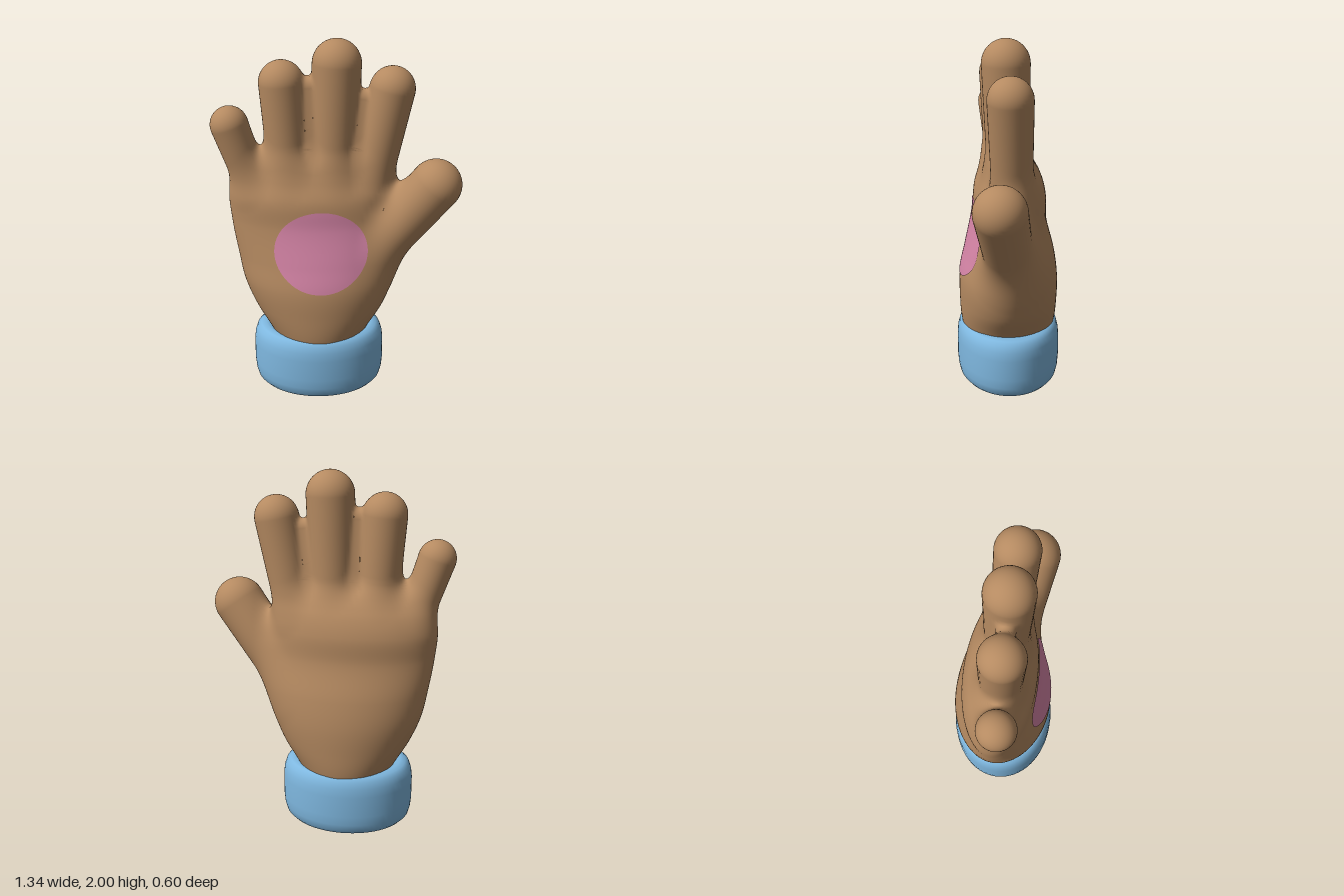
import * as THREE from 'three';
import { ParametricGeometry } from 'three/addons/geometries/ParametricGeometry.js';

const skin = new THREE.MeshStandardMaterial({ color: 0xb58a61 });
skin.name = 'skin brown';
const cloth = new THREE.MeshStandardMaterial({ color: 0x7fb8e0 });
cloth.name = 'cuff blue';
const pink = new THREE.MeshStandardMaterial({ color: 0xd584a6 });
pink.name = 'palm pink';

// Oval palm sections: height, right edge, left edge, back, front
const SECTIONS = [
  [0.28, -0.34, 0.14, -0.25, 0.25],
  [0.36, -0.38, 0.18, -0.27, 0.27],
  [0.5, -0.46, 0.265, -0.28, 0.28],
  [0.65, -0.52, 0.32, -0.28, 0.277],
  [0.8, -0.55, 0.34, -0.26, 0.243],
  [1.0, -0.58, 0.33, -0.213, 0.198],
  [1.15, -0.588, 0.315, -0.208, 0.185],
  [1.25, -0.555, 0.295, -0.178, 0.148],
  [1.34, -0.5, 0.265, -0.125, 0.118],
  [1.42, -0.44, 0.24, -0.085, 0.1],
];
const PALM_TOP = 1.38;
const sampler = new THREE.CubicInterpolant(
  SECTIONS.map((s) => s[0]), SECTIONS.flatMap((s) => s.slice(1)), 4);

function section(y) {
  const [x0, x1, z0, z1] = sampler.evaluate(y);
  return { cx: (x0 + x1) / 2, rx: (x1 - x0) / 2, cz: (z0 + z1) / 2, rz: (z1 - z0) / 2 };
}

// Fingers as tapered capsules: base, tip centre, radii, softness of the joint
const FINGERS = [
  ['littleFinger', [-0.455, 1.18, 0], [-0.57, 1.545, 0.027], 0.088, 0.102, 0.08],
  ['ringFinger', [-0.255, 1.2, 0.005], [-0.29, 1.77, 0.02], 0.11, 0.12, 0.08],
  ['middleFinger', [-0.02, 1.2, 0.005], [0, 1.87, 0.02], 0.113, 0.13, 0.07],
  ['indexFinger', [0.185, 1.2, 0.005], [0.291, 1.74, 0.025], 0.108, 0.12, 0.07],
  ['thumb', [0.16, 0.735, 0], [0.53, 1.235, 0.1], 0.13, 0.14, 0.1],
  ['ringWeb', [-0.137, 1.3, 0.01], [-0.146, 1.75, 0.02], 0.07, 0.035, 0.05],
  ['indexWeb', [0.09, 1.3, 0.01], [0.142, 1.69, 0.02], 0.07, 0.03, 0.05],
].map(([name, base, tip, r0, r1, soft]) => {
  const a = new THREE.Vector3(...base), axis = new THREE.Vector3(...tip).sub(a);
  return { name, a, axis, r0, r1, soft };
});

// Soft union of two distances
function blend(a, b, k) {
  const h = Math.max(0, k - Math.abs(a - b)) / k;
  return Math.min(a, b) - h * h * k / 4;
}

function palmDistance(p) {
  const s = section(p.y), dx = (p.x - s.cx) / s.rx, dz = (p.z - s.cz) / s.rz;
  const g = Math.hypot(dx, dz) + 1e-6;
  const side = g * (g - 1) / (Math.hypot(dx / s.rx, dz / s.rz) + 1e-6);
  return -blend(-side, PALM_TOP - p.y, 0.08);
}

const offset = new THREE.Vector3();
function fingerDistance(p, f) {
  offset.copy(p).sub(f.a);
  const t = THREE.MathUtils.clamp(offset.dot(f.axis) / f.axis.lengthSq(), 0, 1);
  return offset.addScaledVector(f.axis, -t).length() - THREE.MathUtils.lerp(f.r0, f.r1, t);
}

// Distance to the skin with all joints softened
const skinDistance = (p) =>
  FINGERS.reduce((d, f) => blend(d, fingerDistance(p, f), f.soft), palmDistance(p));

function skinSlope(p) {
  const e = 0.001, q = new THREE.Vector3(), slope = new THREE.Vector3();
  for (const axis of ['x', 'y', 'z']) {
    q.copy(p)[axis] += e;
    const high = skinDistance(q);
    q[axis] -= 2 * e;
    slope[axis] = (high - skinDistance(q)) / (2 * e);
  }
  return slope;
}

// Move the vertices of a part onto the softened skin, leaving buried ones inside
function skinPart(name, geometry) {
  const pos = geometry.attributes.position, normal = geometry.attributes.normal;
  const p = new THREE.Vector3();
  for (let i = 0; i < pos.count; i++) {
    p.fromBufferAttribute(pos, i);
    if (skinDistance(p) > -0.07) {
      for (let step = 0; step < 8; step++) {
        const slope = skinSlope(p);
        p.addScaledVector(slope, -skinDistance(p) / Math.max(0.3, slope.lengthSq()));
      }
    }
    const n = skinSlope(p).normalize();
    pos.setXYZ(i, p.x, p.y, p.z);
    normal.setXYZ(i, n.x, n.y, n.z);
  }
  const mesh = new THREE.Mesh(geometry, skin);
  mesh.name = name;
  return mesh;
}

// Palm tube closing to a dome under the fingers
function palmPoint(u, v, target) {
  const y = THREE.MathUtils.lerp(0.28, 1.41, Math.min(1, v / 0.85));
  const s = section(y), a = u * Math.PI * 2;
  const close = 1 - Math.max(0, v - 0.85) / 0.15;
  target.set(s.cx + s.rx * close * Math.cos(a), y, s.cz - s.rz * close * Math.sin(a));
}

// Round-tipped lathe laid along the finger's axis
function fingerGeometry({ a, axis, r0, r1 }) {
  const length = axis.length(), points = [];
  for (let i = 0; i < 36; i++) {
    points.push(new THREE.Vector2(THREE.MathUtils.lerp(r0, r1, i / 36), i / 36 * length));
  }
  for (let i = 0; i <= 12; i++) {
    const q = (i / 12) * Math.PI / 2;
    points.push(new THREE.Vector2(i === 12 ? 0 : r1 * Math.cos(q), length + r1 * Math.sin(q)));
  }
  const turn = new THREE.Quaternion().setFromUnitVectors(
    new THREE.Vector3(0, 1, 0), axis.clone().normalize());
  return new THREE.LatheGeometry(points, 40).applyQuaternion(turn).translate(a.x, a.y, a.z);
}

export function createModel() {
  const hand = new THREE.Group();
  hand.name = 'hand';

  // Palm, fingers, thumb and the webs between fingers
  hand.add(skinPart('palm', new ParametricGeometry(palmPoint, 80, 90)));
  for (const f of FINGERS) hand.add(skinPart(f.name, fingerGeometry(f)));

  // Pink pad following the palm surface
  const padGeometry = new THREE.RingGeometry(0, 1, 64, 14);
  const pos = padGeometry.attributes.position, p = new THREE.Vector3();
  for (let i = 0; i < pos.count; i++) {
    p.set(-0.085 + 0.253 * pos.getX(i), 0.885 + 0.223 * pos.getY(i), 0.27);
    for (let step = 0; step < 25; step++) p.z -= skinDistance(p);
    pos.setXYZ(i, p.x, p.y, p.z + 0.005);
  }
  padGeometry.computeVertexNormals();
  const pad = new THREE.Mesh(padGeometry, pink);
  pad.name = 'palmPad';
  hand.add(pad);

  // Rounded oval cuff
  const profile = [
    [0, 0], [0.2, 0], [0.3, 0.003], [0.335, 0.012], [0.357, 0.035], [0.368, 0.075],
    [0.373, 0.13], [0.373, 0.25], [0.367, 0.3], [0.354, 0.338], [0.332, 0.358],
    [0.305, 0.365], [0.27, 0.36], [0.24, 0.33],
  ].map(([x, y]) => new THREE.Vector2(x, y));
  const cuff = new THREE.Mesh(new THREE.LatheGeometry(profile, 64), cloth);
  cuff.name = 'cuff';
  cuff.position.x = -0.106;
  cuff.scale.z = 0.8;
  hand.add(cuff);

  return hand;
}
